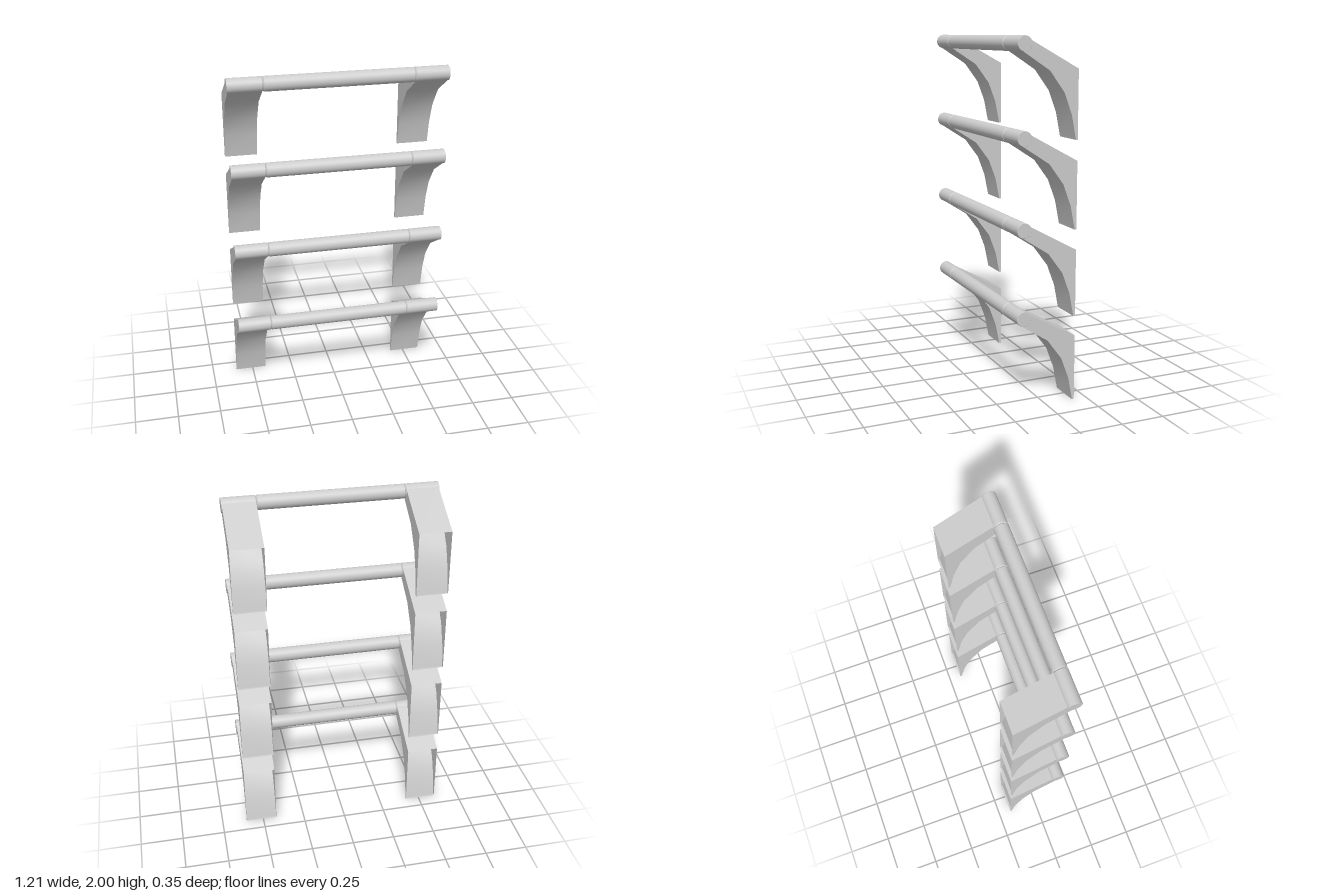
import * as THREE from 'three';

const metal = new THREE.MeshStandardMaterial({ color: 0xcccccc, side: THREE.DoubleSide });
metal.name = 'light grey';

const ROD_Z = 0.135, ROD_Y = 1.958, R = 0.041, PITCH = 0.485;
const INNER = 0.418, OUTER = 0.603;

// Bracket outlines as [z, y]
const underside = [[0.155, 1.925], [-0.008, 1.82], [-0.093, 1.706], [-0.138, 1.587], [-0.164, 1.455]];
const topEdge = [[0.115, 1.985], [-0.175, 1.828]];
const foot = [[-0.164, 1.455], [-0.175, 1.455]];

// Sheet that sweeps an outline across x
function sheet(points, x0, x1) {
  const pos = [], index = [];
  points.forEach(([z, y], i) => {
    pos.push(x0, y, z, x1, y, z);
    if (i) {
      const a = 2 * i - 2;
      index.push(a, a + 2, a + 1, a + 1, a + 2, a + 3);
    }
  });
  const g = new THREE.BufferGeometry();
  g.setAttribute('position', new THREE.Float32BufferAttribute(pos, 3));
  g.setIndex(index);
  g.computeVertexNormals();
  return g;
}

// Flat side wall at a given x
function wall(x) {
  const outline = [...underside, foot[1], topEdge[1], topEdge[0], [ROD_Z, ROD_Y]];
  const shape = new THREE.Shape(outline.map(([z, y]) => new THREE.Vector2(z, y)));
  return new THREE.ShapeGeometry(shape).rotateY(-Math.PI / 2).translate(x, 0, 0);
}

function add(group, name, geometry) {
  const mesh = new THREE.Mesh(geometry, metal);
  mesh.name = name;
  group.add(mesh);
}

// Rod section with small chamfers, lying along x
function rod(x0, x1, c0, c1) {
  const segments = new THREE.Group();
  const length = x1 - x0 - c0 - c1;
  const along = (g, x) => g.rotateZ(-Math.PI / 2).translate(x, 0, 0);
  add(segments, 'tube', along(new THREE.CylinderGeometry(R, R, length, 40, 1, true), x0 + c0 + length / 2));
  // cones narrow toward the section's ends
  add(segments, 'endChamfer', along(new THREE.CylinderGeometry(R, R - c0, c0, 40), x0 + c0 / 2));
  add(segments, 'endChamfer', along(new THREE.CylinderGeometry(R - c1, R, c1, 40), x1 - c1 / 2));
  segments.position.set(0, ROD_Y, ROD_Z);
  return segments;
}

// Hollow bracket, open at the back
function bracket(side) {
  const g = new THREE.Group();
  g.name = side > 0 ? 'leftBracket' : 'rightBracket';
  const [x0, x1] = side > 0 ? [INNER, OUTER] : [-OUTER, -INNER];
  add(g, 'curvedUnderside', sheet(underside, x0, x1));
  add(g, 'topPlate', sheet([...topEdge].reverse(), x0, x1));
  add(g, 'footEdge', sheet(foot, x0, x1));
  add(g, 'sideWall', wall(x0));
  add(g, 'sideWall', wall(x1));
  return g;
}

function rung() {
  const g = new THREE.Group();
  const bar = rod(-0.414, 0.414, 0.005, 0.005);
  bar.name = 'middleBar';
  const left = rod(0.414, 0.607, 0.005, 0.001);
  left.name = 'leftSleeve';
  const right = rod(-0.607, -0.414, 0.001, 0.005);
  right.name = 'rightSleeve';
  g.add(bar, left, right, bracket(1), bracket(-1));
  return g;
}

export function createModel() {
  const model = new THREE.Group();
  model.name = 'ladderRungs';
  for (let i = 0; i < 4; i++) {
    const r = rung();
    r.name = 'rung' + (i + 1);
    r.position.y = -i * PITCH;
    model.add(r);
  }
  return model;
}
